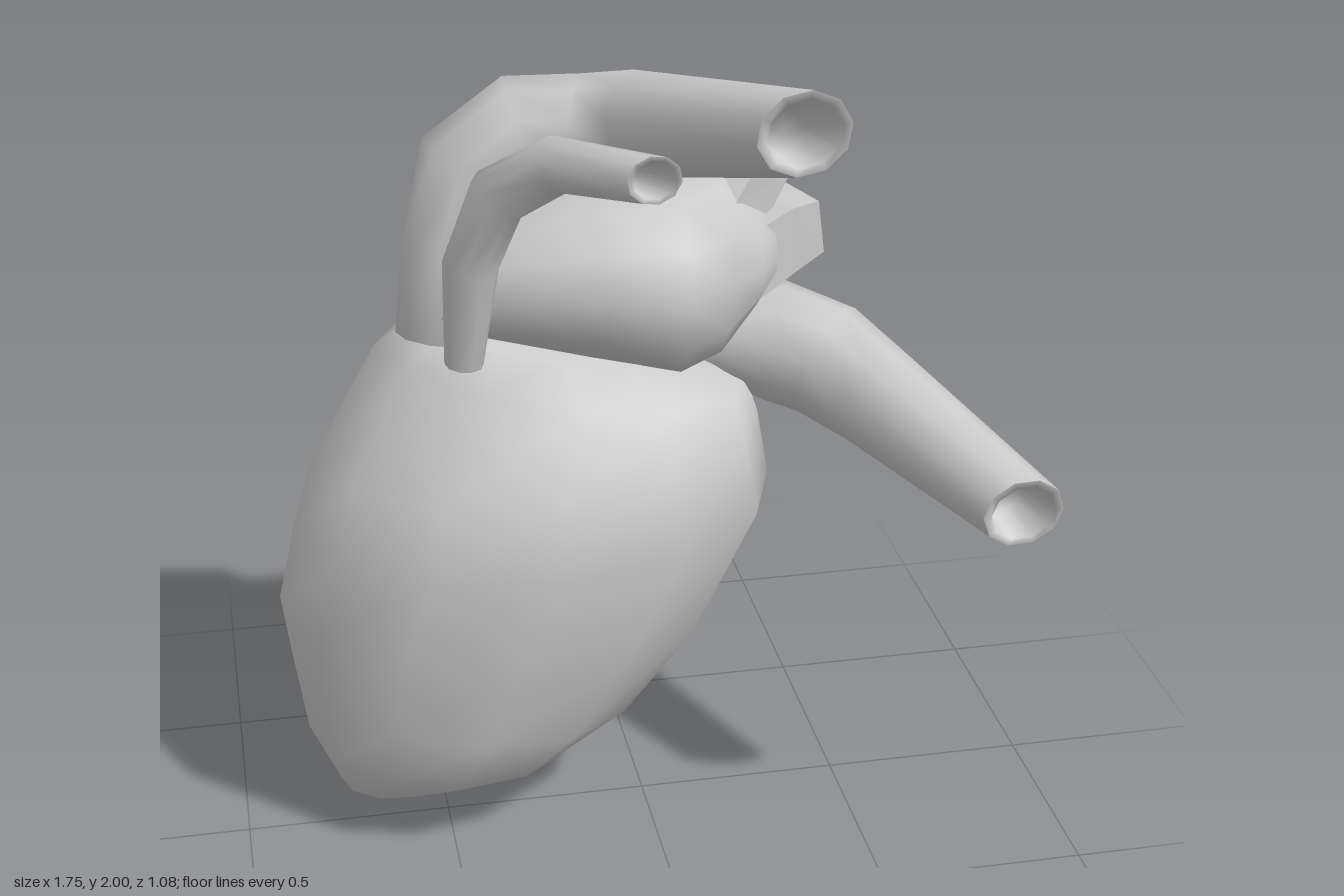
import * as THREE from 'three';

const V = (x, y, z) => new THREE.Vector3(x, y, z);

// Closed ring of n points around c, spanned by half-axes u and v
function ring(c, u, v, n) {
  return Array.from({ length: n }, (_, j) => {
    const a = (j / n) * Math.PI * 2;
    return c.clone().addScaledVector(u, Math.cos(a)).addScaledVector(v, Math.sin(a));
  });
}

const middle = (r) => r.reduce((s, p) => s.add(p), V(0, 0, 0)).divideScalar(r.length);

// Skin a list of rings, optionally closing the first and last one
function loft(name, rings, { start = true, end = true, flat = false } = {}) {
  const n = rings[0].length, pos = [], idx = [];
  rings.flat().forEach((p) => pos.push(p.x, p.y, p.z));
  for (let i = 0; i < rings.length - 1; i++) {
    for (let j = 0; j < n; j++) {
      const k = (j + 1) % n, a = i * n, b = a + n;
      idx.push(a + j, a + k, b + k, a + j, b + k, b + j);
    }
  }
  const cap = (r, base, flip) => {
    const m = middle(r), c = pos.length / 3;
    pos.push(m.x, m.y, m.z);
    for (let j = 0; j < n; j++) {
      const k = (j + 1) % n;
      idx.push(...(flip ? [base + k, base + j, c] : [base + j, base + k, c]));
    }
  };
  if (start) cap(rings[0], 0, true);
  if (end) cap(rings.at(-1), (rings.length - 1) * n, false);
  const g = new THREE.BufferGeometry();
  g.setAttribute('position', new THREE.Float32BufferAttribute(pos, 3));
  g.setIndex(idx);
  g.computeVertexNormals();
  const mesh = new THREE.Mesh(g, new THREE.MeshStandardMaterial({
    color: 0xcccccc, flatShading: flat, side: THREE.DoubleSide,
  }));
  mesh.name = name;
  return mesh;
}

// Vessel along [x, y, z, radius] stations, with a hollowed open end facing endDir
function vessel(name, path, endDir, { sides = 10, flat = false, depth = 0.08, corner = V(0.3, 0.2, 1) } = {}) {
  const pts = path.map((p) => V(p[0], p[1], p[2]));
  const last = pts.length - 1;
  let normal = corner;
  const rings = pts.map((p, i) => {
    const tangent = pts[Math.min(i + 1, last)].clone().sub(p).normalize();
    if (i > 0) tangent.add(p.clone().sub(pts[i - 1]).normalize());
    if (i === last) tangent.copy(endDir);
    tangent.normalize();
    normal = normal.clone().addScaledVector(tangent, -normal.dot(tangent)).normalize();
    const side = tangent.clone().cross(normal), r = path[i][3];
    return ring(p, normal.clone().multiplyScalar(r), side.multiplyScalar(r), sides);
  });
  const rim = rings[last], c = pts[last];
  const back = c.clone().sub(pts[last - 1]).normalize().multiplyScalar(-depth);
  const inner = rim.map((p) => p.clone().lerp(c, 0.2));
  const floor = rim.map((p) => p.clone().lerp(c, 0.5).add(back));
  const g = new THREE.Group();
  g.name = name;
  g.add(loft(name + 'Wall', rings, { end: false, flat }));
  g.add(loft(name + 'Opening', [rim, inner, floor], { start: false, flat }));
  return g;
}

export function createModel() {
  const model = new THREE.Group();
  model.name = 'heart';

  // Ventricles: tilted elliptical sections [leftX, leftY, rightX, rightY, halfDepth]
  const sections = [
    [-0.67, 0.01, -0.61, 0.005, 0.02],
    [-0.76, 0.06, -0.4, 0.09, 0.15],
    [-0.83, 0.22, -0.15, 0.18, 0.325],
    [-0.855, 0.4, 0, 0.28, 0.37],
    [-0.88, 0.6, 0.18, 0.5, 0.41],
    [-0.835, 0.79, 0.34, 0.83, 0.435],
    [-0.78, 0.97, 0.31, 1.0, 0.39],
    [-0.62, 1.25, 0.28, 1.09, 0.28],
    [-0.5, 1.32, 0.1, 1.18, 0.18],
  ];
  model.add(loft('ventricles', sections.map(([lx, ly, rx, ry, d]) =>
    ring(V((lx + rx) / 2, (ly + ry) / 2, -0.11), V((rx - lx) / 2, (ry - ly) / 2, 0), V(0, 0, -d), 12))));

  // Atria: sections across x [x, y, z, halfHeight, halfDepth]
  const atria = [
    [-0.52, 1.33, -0.12, 0.04, 0.1],
    [-0.36, 1.4, -0.13, 0.15, 0.19],
    [-0.1, 1.41, -0.11, 0.21, 0.26],
    [0.09, 1.39, -0.11, 0.245, 0.26],
    [0.2, 1.4, -0.14, 0.235, 0.21],
    [0.3, 1.4, -0.17, 0.13, 0.15],
    [0.35, 1.4, -0.19, 0.08, 0.09],
  ];
  model.add(loft('atria', atria.map(([x, y, z, h, d]) =>
    ring(V(x, y, z), V(0, h, 0), V(0, 0, d), 12))));

  // Great vessels, curving round to open at the front
  const forward = V(0, -0.2, 1);
  model.add(vessel('aorta', [
    [-0.46, 1.27, -0.09, 0.11],
    [-0.43, 1.47, -0.12, 0.115],
    [-0.37, 1.65, -0.15, 0.14],
    [-0.25, 1.73, -0.16, 0.14],
    [-0.1, 1.735, -0.13, 0.135],
    [0.01, 1.78, -0.03, 0.125],
    [0.26, 1.9, 0.45, 0.105],
  ], forward));
  model.add(vessel('venaCava', [
    [-0.43, 1.27, 0.08, 0.045],
    [-0.41, 1.52, 0.1, 0.065],
    [-0.35, 1.7, 0.15, 0.07],
    [-0.23, 1.79, 0.23, 0.065],
    [-0.06, 1.82, 0.45, 0.06],
  ], forward));
  model.add(vessel('pulmonaryArtery', [
    [0.06, 1.14, -0.17, 0.03],
    [0.2, 1.16, -0.19, 0.09],
    [0.36, 1.16, -0.165, 0.15],
    [0.48, 1.12, -0.11, 0.145],
    [0.57, 1.08, 0.05, 0.125],
    [0.78, 0.99, 0.52, 0.095],
  ], forward));

  // Two square faceted vein stubs
  const stubs = [
    ['upperVein', [0.2, 1.5, -0.14, 0.12], [0.34, 1.65, -0.28, 0.12], [0.41, 1.665, -0.33, 0.085]],
    ['lowerVein', [0.22, 1.38, -0.15, 0.13], [0.37, 1.42, -0.24, 0.12], [0.46, 1.43, -0.28, 0.1]],
  ];
  for (const [name, ...path] of stubs) {
    model.add(vessel(name, path, V(1, 0.2, -0.4),
      { sides: 4, flat: true, depth: 0.05, corner: V(0.6, 1, 0.8) }));
  }
  return model;
}
